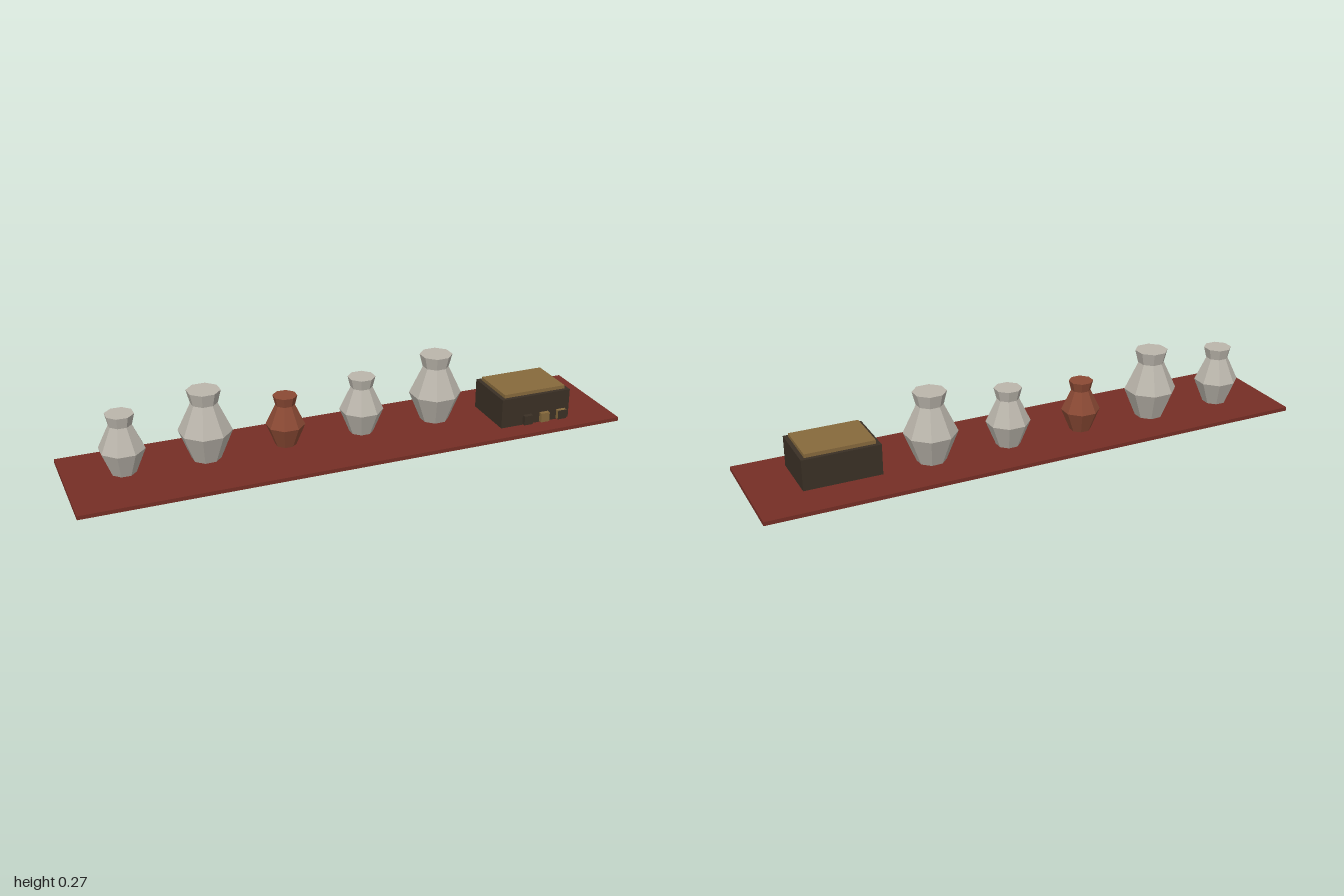
import * as THREE from 'three';

const paint = (name, color) => {
  const m = new THREE.MeshStandardMaterial({ color, flatShading: true });
  m.name = name;
  return m;
};

export function createModel() {
  const red = paint('darkRed', 0x752e25);
  const grey = paint('stoneGrey', 0xbab5ab);
  const clay = paint('terracotta', 0x8a4934);
  const dark = paint('darkWood', 0x3a3025);
  const gold = paint('ochre', 0x86693c);

  const model = new THREE.Group();
  model.name = 'vaseDisplay';

  const add = (parent, name, geometry, material, x, y, z) => {
    const mesh = new THREE.Mesh(geometry, material);
    mesh.name = name;
    mesh.position.set(x, y, z);
    parent.add(mesh);
    return mesh;
  };

  // Box given by its centre in x and z and its bottom in y
  const box = (parent, name, material, w, h, d, x, y, z) =>
    add(parent, name, new THREE.BoxGeometry(w, h, d), material, x, y + h / 2, z);

  const FLOOR = 0.014;
  box(model, 'basePlate', red, 2, FLOOR, 0.426, 0, 0, 0);

  // Eight-sided vase: tapered foot, shoulder and flared collar
  const ring = (top, bottom, h) => new THREE.CylinderGeometry(top, bottom, h, 8);
  const vase = (name, x, scale, material, turn) => {
    const g = new THREE.Group();
    g.name = name;
    add(g, 'lowerBody', ring(0.095, 0.052, 0.105), material, 0, 0.0525, 0);
    add(g, 'upperBody', ring(0.0455, 0.095, 0.105), material, 0, 0.1575, 0);
    add(g, 'collar', ring(0.0595, 0.048, 0.046), material, 0, 0.232, 0);
    g.position.set(x, FLOOR, -0.035);
    g.rotation.y = Math.PI / 8 + turn;
    g.scale.setScalar(scale);
    model.add(g);
  };
  vase('mediumVaseRight', -0.795, 0.85, grey, 0);
  vase('largeVaseRight', -0.505, 1, grey, 0.04);
  vase('clayVase', -0.215, 0.735, clay, 0);
  vase('mediumVaseLeft', 0.073, 0.835, grey, 0.02);
  vase('largeVaseLeft', 0.364, 1, grey, 0.04);

  // Chest with inset lid
  const chest = new THREE.Group();
  chest.name = 'chest';
  model.add(chest);
  box(chest, 'chestBody', dark, 0.277, 0.111, 0.208, 0.69, FLOOR, 0.035);
  box(chest, 'chestLid', gold, 0.247, 0.013, 0.18, 0.69, 0.125, 0.035);

  // Small blocks along the front of the chest
  box(chest, 'darkBlock', dark, 0.034, 0.035, 0.016, 0.655, 0.018, 0.147);
  box(chest, 'ochreBlock', gold, 0.034, 0.035, 0.016, 0.724, 0.018, 0.147);
  box(chest, 'framedBlock', gold, 0.034, 0.035, 0.015, 0.794, 0.018, 0.1465);
  box(chest, 'framedBlockFace', dark, 0.034, 0.035, 0.001, 0.794, 0.018, 0.1545);

  return model;
}
